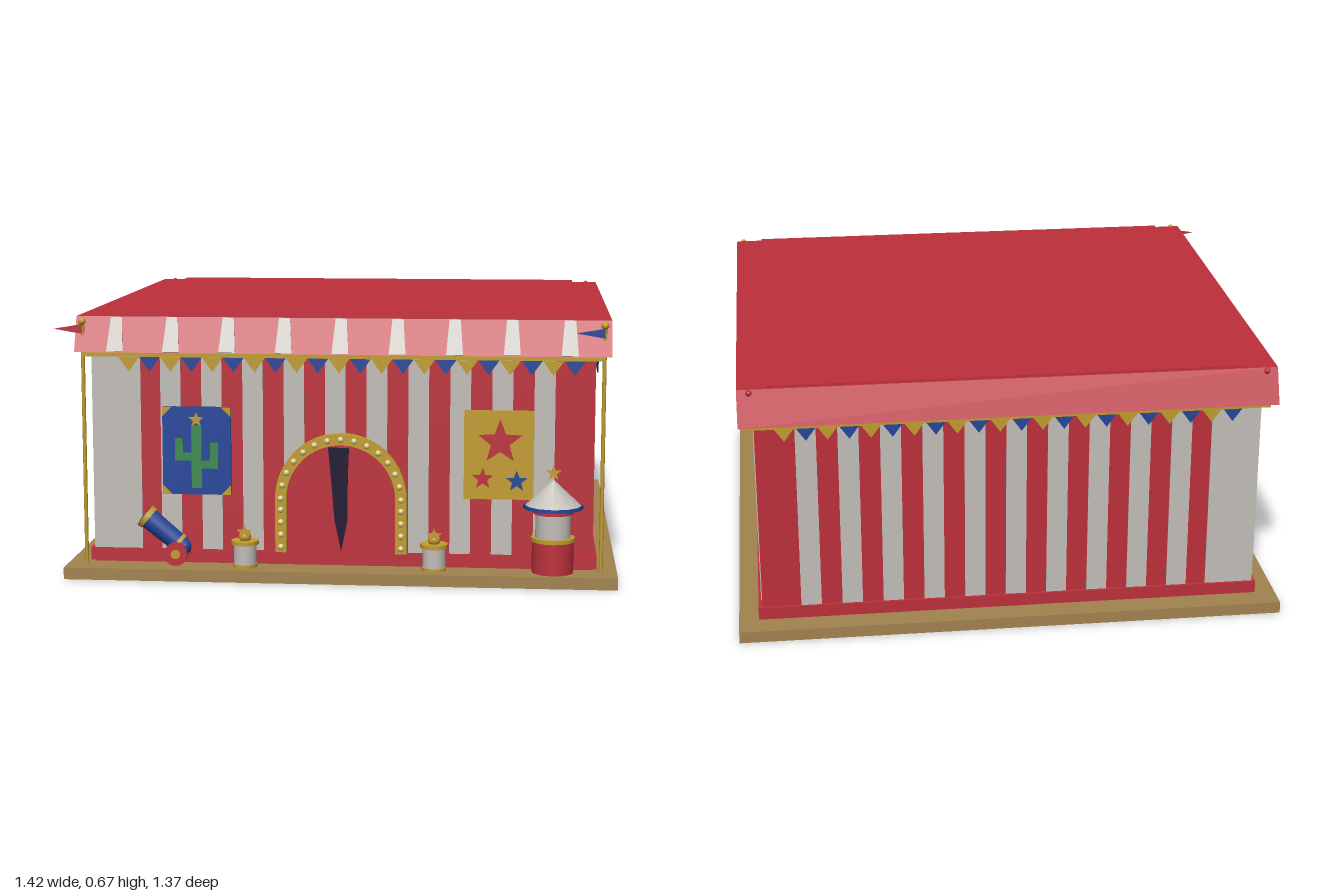
import * as THREE from 'three';

export function createModel() {
  const root = new THREE.Group();
  const mat = (name, color) => {
    const m = new THREE.MeshStandardMaterial({ color });
    m.name = name;
    return m;
  };
  const red = mat('canvas red', 0xbe303c);
  const cream = mat('canvas grey white', 0xc2beb8);
  const wood = mat('wood', 0xa3834f);
  const gold = mat('gold', 0xc29c2e);
  const blue = mat('blue', 0x24459a);
  const green = mat('green', 0x3a8a50);
  const dark = mat('dark opening', 0x1c1030);
  const bulbMat = mat('bulb cream', 0xe2d28a);

  const add = (name, geo, m, x = 0, y = 0, z = 0, parent = root) => {
    const mesh = new THREE.Mesh(geo, m);
    mesh.name = name;
    mesh.position.set(x, y, z);
    parent.add(mesh);
    return mesh;
  };
  const box = (name, m, w, h, d, x, y, z, parent) =>
    add(name, new THREE.BoxGeometry(w, h, d), m, x, y, z, parent);
  const cyl = (name, m, rt, rb, h, x, y, z, parent, n = 16) =>
    add(name, new THREE.CylinderGeometry(rt, rb, h, n), m, x, y, z, parent);
  const plate = (shape, depth = 0.004) =>
    new THREE.ExtrudeGeometry(shape, { depth, bevelEnabled: false, curveSegments: 16 });
  const poly = (pts) => new THREE.Shape(pts.map(([x, y]) => new THREE.Vector2(x, y)));
  const star = (r) => poly(Array.from({ length: 10 }, (_, i) => {
    const a = Math.PI / 2 + i * Math.PI / 5, k = i % 2 ? r * 0.42 : r;
    return [Math.cos(a) * k, Math.sin(a) * k];
  }));

  // Platform, floor and tent body
  box('platform', wood, 1.395, 0.03, 1.36, -0.002, 0.015, 0.012);
  box('floorUnderside', red, 1.24, 0.002, 1.18, 0, 0, 0);
  box('tentWalls', red, 1.27, 0.55, 1.206, 0, 0.3, 0);
  box('baseBand', red, 1.29, 0.032, 1.224, 0, 0.05, 0);

  // Wall stripes, front/back then sides
  for (const s of [1, -1]) {
    box('endStripe', cream, 0.125, 0.5, 0.004, -0.574, 0.315, s * 0.604);
    for (let i = 0; i < 10; i++)
      box('wallStripe', cream, 0.052, 0.5, 0.004, -0.435 + i * 0.105, 0.315, s * 0.604);
    for (let i = 0; i < 11; i++)
      box('sideStripe', cream, 0.004, 0.5, 0.052, s * 0.636, 0.315, 0.4965 - i * 0.1036);
  }

  // Roof with sloped front and back valances
  const roof = plate(poly([[-0.64, 0.574], [0.64, 0.574], [0.605, 0.662], [-0.605, 0.662]]), 1.346);
  roof.translate(0, 0, -0.673);
  roof.rotateY(Math.PI / 2);
  add('roof', roof, red);
  box('roofTop', red, 1.2, 0.008, 1.2, 0, 0.664, 0);
  const lean = -Math.atan(0.035 / 0.088);
  for (let i = 0; i < 9; i++) {
    const m = add('awningStripe', plate(poly([[-0.021, 0.002], [0.021, 0.002], [0.014, 0.093], [-0.014, 0.093]]), 0.002),
      cream, -0.57 + i * 0.1425, 0.574, 0.64);
    m.rotation.x = lean;
  }
  box('eaveTrim', gold, 1.31, 0.01, 1.25, 0, 0.567, 0);

  // Bunting on all four sides
  const bunting = (angle, dist, start, count, first) => {
    const g = new THREE.Group();
    g.name = 'bunting';
    g.rotation.y = angle;
    for (let i = 0; i < count; i++)
      add('pennant', plate(poly([[-0.026, 0], [0, -0.036], [0.026, 0]]), 0.003),
        (i + first) % 2 ? blue : gold, start + i * 0.0535, 0.56, dist, g);
    root.add(g);
  };
  bunting(0, 0.61, -0.54, 22, 0);
  bunting(Math.PI, 0.61, -0.562, 22, 0);
  bunting(Math.PI / 2, 0.64, -0.54, 21, 1);
  bunting(-Math.PI / 2, 0.64, -0.535, 21, 1);

  // Front corner poles with small flags
  for (const s of [1, -1]) {
    cyl('cornerPole', gold, 0.005, 0.005, 0.62, s * 0.655, 0.34, 0.62, root, 8);
    add('poleFinial', new THREE.SphereGeometry(0.01, 10, 8), gold, s * 0.655, 0.651, 0.625);
    add('poleFlag', plate(poly([[0, 0.012], [-0.07, 0], [0, -0.012]])), s > 0 ? blue : red,
      s * 0.655, 0.632, 0.63);
    add('rearFinial', new THREE.SphereGeometry(0.008, 8, 6), red, s * 0.643, 0.657, -0.615);
  }

  // Arched doorway, curtains and bulbs
  const R = 0.15, springY = 0.205;
  const doorway = new THREE.Shape();
  doorway.moveTo(-R, 0.066);
  doorway.lineTo(R, 0.066);
  doorway.lineTo(R, springY);
  doorway.absarc(0, springY, R, 0, Math.PI, false);
  add('curtains', plate(doorway), red, 0, 0, 0.608);
  add('curtainGap', plate(poly([[0, 0.068], [0.016, 0.15], [0.017, 0.26], [0.02, 0.335],
    [-0.033, 0.335], [-0.025, 0.25], [-0.017, 0.15]]), 0.002), dark, 0, 0, 0.613);
  const frame = new THREE.Shape();
  frame.moveTo(0.167, 0.066);
  frame.lineTo(0.167, springY);
  frame.absarc(0, springY, 0.167, 0, Math.PI, false);
  frame.lineTo(-0.167, 0.066);
  frame.lineTo(-0.138, 0.066);
  frame.lineTo(-0.138, springY);
  frame.absarc(0, springY, 0.138, Math.PI, 0, true);
  frame.lineTo(0.138, 0.066);
  add('doorArch', plate(frame, 0.02), gold, 0, 0, 0.606);
  const bulb = (x, y) => add('archBulb', new THREE.SphereGeometry(0.008, 8, 6), bulbMat, x, y, 0.627);
  for (let i = 0; i <= 14; i++) {
    const a = i * Math.PI / 14;
    bulb(Math.cos(a) * 0.1525, springY + Math.sin(a) * 0.1525);
  }
  for (const s of [1, -1]) for (let i = 0; i < 4; i++) bulb(s * 0.1525, 0.08 + i * 0.032);

  // Cactus poster
  const cactus = new THREE.Group();
  cactus.name = 'cactusPoster';
  cactus.position.set(-0.368, 0.322, 0.61);
  root.add(cactus);
  box('posterPanel', blue, 0.175, 0.225, 0.008, 0, 0, 0, cactus);
  for (const sx of [1, -1]) for (const sy of [1, -1]) {
    const c = plate(poly(sx * sy > 0 ? [[0, 0], [-sx * 0.025, 0], [0, -sy * 0.025]]
      : [[0, 0], [0, -sy * 0.025], [-sx * 0.025, 0]]));
    add('posterCorner', c, gold, sx * 0.0875, sy * 0.1125, 0.002, cactus);
  }
  for (const [w, h, x, y] of [[0.026, 0.16, 0, -0.015], [0.05, 0.02, -0.03, -0.015], [0.02, 0.055, -0.045, 0.005],
    [0.05, 0.02, 0.03, -0.035], [0.02, 0.065, 0.045, -0.01]])
    box('cactusLimb', green, w, h, 0.005, x, y, 0.005, cactus);
  add('cactusStar', plate(star(0.02)), gold, 0, 0.08, 0.005, cactus);

  // Star poster
  box('starPoster', gold, 0.175, 0.225, 0.008, 0.397, 0.322, 0.61);
  add('largeStar', plate(star(0.058)), red, 0.4, 0.355, 0.612);
  add('smallRedStar', plate(star(0.028)), red, 0.357, 0.262, 0.612);
  add('smallBlueStar', plate(star(0.028)), blue, 0.442, 0.256, 0.612);

  // Cannon
  const cannon = new THREE.Group();
  cannon.name = 'cannon';
  cannon.position.set(-0.448, 0.118, 0.64);
  cannon.rotation.z = 0.88;
  root.add(cannon);
  cyl('cannonBarrel', blue, 0.027, 0.024, 0.12, 0, 0, 0, cannon);
  cyl('muzzleBand', gold, 0.031, 0.031, 0.014, 0, 0.058, 0, cannon);
  cyl('breechBand', gold, 0.027, 0.027, 0.01, 0, -0.045, 0, cannon);
  cyl('muzzleHole', dark, 0.021, 0.021, 0.002, 0, 0.0655, 0, cannon);
  add('breechKnob', new THREE.SphereGeometry(0.022, 12, 8), blue, 0, -0.06, 0, cannon);
  for (const z of [0.625, 0.67]) {
    cyl('cannonWheel', red, 0.03, 0.03, 0.01, -0.415, 0.066, z).rotation.x = Math.PI / 2;
    cyl('wheelHub', gold, 0.012, 0.012, 0.014, -0.415, 0.066, z).rotation.x = Math.PI / 2;
  }

  // Pedestals beside the door
  for (const x of [-0.243, 0.237]) {
    cyl('pedestal', cream, 0.029, 0.029, 0.066, x, 0.06, 0.635);
    cyl('pedestalRim', gold, 0.035, 0.035, 0.01, x, 0.093, 0.635);
    cyl('pedestalFoot', gold, 0.031, 0.031, 0.008, x, 0.034, 0.635);
    add('pedestalBall', new THREE.SphereGeometry(0.016, 12, 8), gold, x, 0.108, 0.635);
    add('pedestalStar', plate(star(0.02)), gold, x, 0.12, 0.645);
  }

  // Ticket booth
  const bx = 0.534, bz = 0.63;
  cyl('boothBase', red, 0.052, 0.052, 0.085, bx, 0.0725, bz);
  cyl('boothLedge', gold, 0.055, 0.055, 0.01, bx, 0.115, bz);
  cyl('boothUpper', cream, 0.044, 0.044, 0.06, bx, 0.15, bz);
  cyl('boothCollar', red, 0.05, 0.05, 0.014, bx, 0.187, bz);
  cyl('boothRoofRim', blue, 0.075, 0.075, 0.008, bx, 0.197, bz, root, 12);
  cyl('boothRoof', cream, 0.003, 0.07, 0.062, bx, 0.232, bz, root, 12);
  add('boothStar', plate(star(0.02)), gold, bx, 0.282, bz);

  return root;
}
